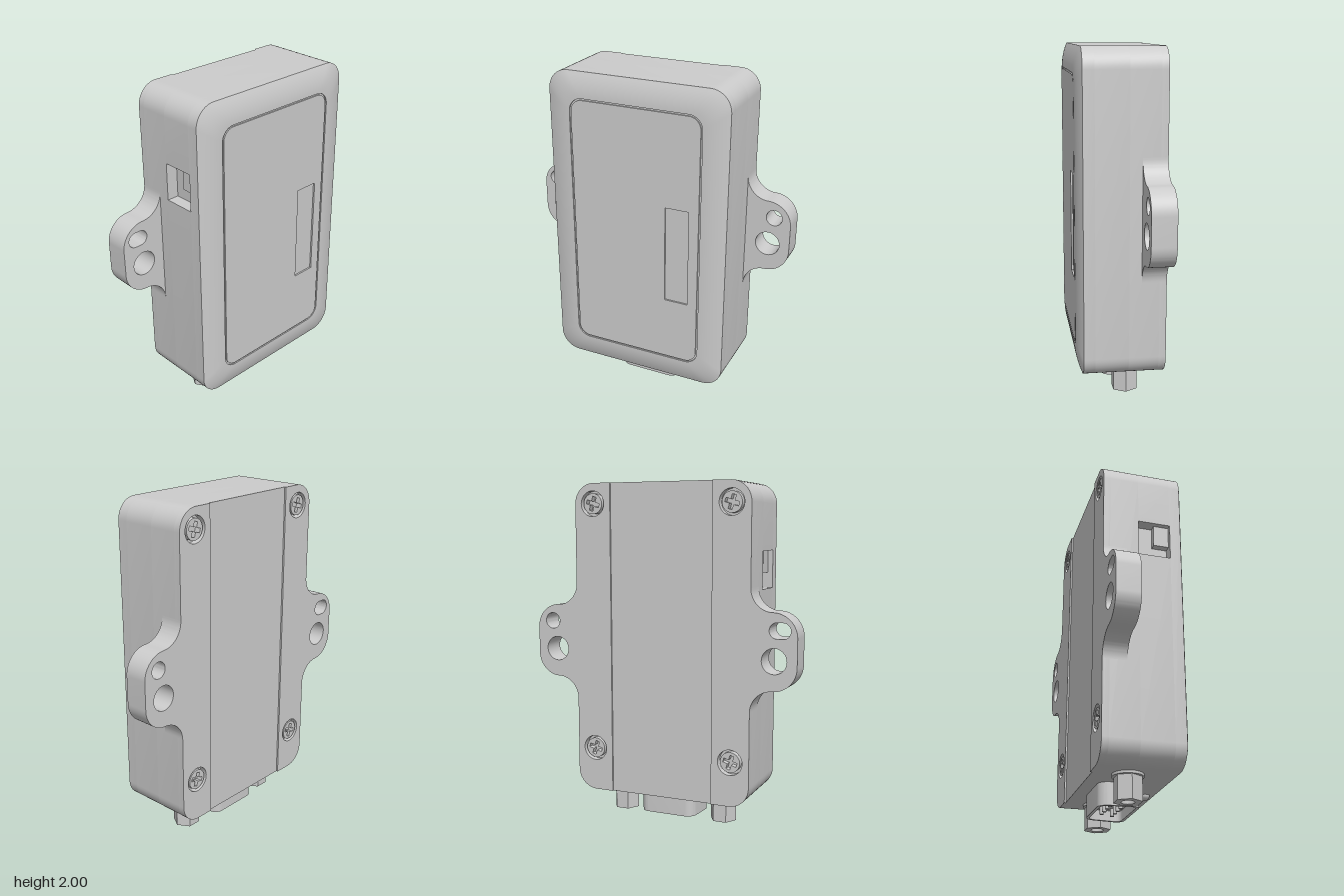
import * as THREE from 'three';
import { toCreasedNormals } from 'three/addons/utils/BufferGeometryUtils.js';

const V = (x, y) => new THREE.Vector2(x, y);
const material = new THREE.MeshStandardMaterial({ color: 0xcccccc });
const N = 10; // segments per rounded corner

// Rounded rectangle, counter-clockwise: lower right, upper right, upper left, lower left
function roundRect(x0, x1, y0, y1, r) {
  const pts = [];
  const corners = [[x1 - r, y0 + r], [x1 - r, y1 - r], [x0 + r, y1 - r], [x0 + r, y0 + r]];
  corners.forEach(([cx, cy], k) => {
    for (let i = 0; i <= N; i++) {
      const a = (k - 1 + i / N) * Math.PI / 2;
      pts.push(V(cx + r * Math.cos(a), cy + r * Math.sin(a)));
    }
  });
  return pts;
}

function circle(x, y, r, n = 32) {
  return Array.from({ length: n }, (_, i) =>
    V(x + r * Math.cos(i / n * 2 * Math.PI), y + r * Math.sin(i / n * 2 * Math.PI)));
}

// Outline with holes, extruded from z0 to z1
function slab(pts, holes, z0, z1) {
  const shape = new THREE.Shape(pts);
  shape.holes = holes.map(h => new THREE.Path(h));
  const g = new THREE.ExtrudeGeometry(shape, { depth: z1 - z0, bevelEnabled: false });
  return toCreasedNormals(g.translate(0, 0, z0), 0.6);
}

// Outline in x and z, extruded downwards from yTop to yBottom
function drop(pts, holes, yTop, yBottom) {
  return slab(pts, holes, 0, yTop - yBottom).rotateX(Math.PI / 2).translate(0, yTop, 0);
}

// Skin through rings of equal point count, given as [points, z]
function loft(rings) {
  const n = rings[0][0].length, pos = [], index = [];
  rings.forEach(([pts, z], i) => pts.forEach((p, j) => {
    pos.push(p.x, p.y, z);
    if (i === rings.length - 1) return;
    const a = i * n + j, b = i * n + (j + 1) % n;
    index.push(a, b, b + n, a, b + n, a + n);
  }));
  const g = new THREE.BufferGeometry();
  g.setAttribute('position', new THREE.Float32BufferAttribute(pos, 3));
  g.setIndex(index);
  return toCreasedNormals(g, 0.4);
}

export function createModel() {
  const model = new THREE.Group();
  const add = (name, geometry, parent = model) => {
    const m = new THREE.Mesh(geometry, material);
    m.name = name;
    parent.add(m);
    return m;
  };

  // Housing in layers, so screw wells and the side slot are real recesses
  const outline = roundRect(-0.55, 0.55, 0.15, 2, 0.12);
  const screws = [[0.435, 1.88], [0.435, 0.41], [-0.435, 1.88], [-0.435, 0.41]];
  const wells = screws.map(([x, y]) => circle(x, y, 0.075));
  const notched = [...outline];
  notched.splice(3 * (N + 1), 0, V(-0.55, 1.61), V(-0.48, 1.61), V(-0.48, 1.39), V(-0.55, 1.39));
  const housing = new THREE.Group();
  housing.name = 'housing';
  model.add(housing);
  add('backLayer', slab(outline, wells, -0.24, -0.21), housing);
  add('middleLayer', slab(outline, [], -0.21, -0.04), housing);
  add('slotLayer', slab(notched, [], -0.04, 0.15), housing);
  add('frontLayer', slab(outline, [], 0.15, 0.215), housing);
  add('slotSwitch', new THREE.BoxGeometry(0.04, 0.13, 0.09).translate(-0.5, 1.545, 0.105), housing);

  // Raised strips either side of the back channel
  const strip = [...outline.slice(0, 2 * (N + 1)), V(0.32, 2), V(0.32, 0.15)];
  for (const s of [1, -1]) {
    const holes = screws.filter(p => p[0] * s > 0).map(([x, y]) => circle(x, y, 0.075));
    add(s > 0 ? 'leftBackStrip' : 'rightBackStrip',
      slab(strip.map(p => V(p.x * s, p.y)), holes, -0.25, -0.24), housing);
  }

  // Curved front rim, ending in the groove around the panel
  const inset = (d, r) => roundRect(-0.55 + d, 0.55 - d, 0.15 + d, 2 - d, r);
  const rings = [];
  for (let i = 0; i <= 8; i++) {
    const t = i / 8;
    rings.push([inset(0.145 * t, 0.12 - 0.04 * t), 0.215 + 0.035 * (1 - (1 - t) ** 2)]);
  }
  rings.push([inset(0.145, 0.08), 0.242], [inset(0.155, 0.07), 0.242], [inset(0.155, 0.07), 0.25]);
  add('frontRim', loft(rings));

  // Front panel with its sunken window
  const windowHole = [V(0.19, 0.695), V(0.335, 0.695), V(0.335, 1.29), V(0.19, 1.29)];
  add('frontPanel', slab(inset(0.155, 0.07), [windowHole], 0.22, 0.25));
  add('windowFloor', new THREE.BoxGeometry(0.145, 0.595, 0.02).translate(0.2625, 0.9925, 0.23));

  // Mounting ears; one upper hole is a slot
  const ear = new THREE.Shape();
  ear.moveTo(0.55, 0.71);
  ear.absarc(0.68, 0.71, 0.13, Math.PI, Math.PI / 2, true);
  ear.absarc(0.68, 0.98, 0.14, -Math.PI / 2, 0, false);
  ear.absarc(0.68, 1.14, 0.14, 0, Math.PI / 2, false);
  ear.absarc(0.68, 1.41, 0.13, -Math.PI / 2, -Math.PI, true);
  const earPts = ear.getPoints(12);
  for (const s of [1, -1]) {
    const upper = s > 0 ? circle(0.72, 1.18, 0.048) : roundRect(-0.782, -0.658, 1.135, 1.225, 0.0449);
    add(s > 0 ? 'leftEar' : 'rightEar',
      slab(earPts.map(p => V(p.x * s, p.y)), [circle(0.688 * s, 1.01, 0.073), upper], -0.25, -0.11));
  }

  // Cross-head screws
  const w = 0.012, l = 0.042;
  const quarter = [V(l, -w), V(l, w), V(w, w)];
  const cross = [0, 1, 2, 3].flatMap(k =>
    quarter.map(p => p.clone().rotateAround(V(0, 0), k * Math.PI / 2 + 0.3)));
  const head = slab(circle(0, 0, 0.06), [cross], -0.246, -0.21);
  for (const [x, y] of screws) add('screw', head).position.set(x, y, 0);

  // Hexagonal standoffs with washers
  for (const s of [1, -1]) {
    const x = 0.325 * s, z = -0.045;
    add('standoff', drop(circle(x, z, 0.08, 6), [circle(x, z, 0.037)], 0.15, 0));
    add('standoffCore', new THREE.CylinderGeometry(0.037, 0.037, 0.06, 24).translate(x, 0.11, z));
    add('washer', new THREE.CylinderGeometry(0.088, 0.088, 0.015, 32).translate(x, 0.1425, z));
  }

  // Connector shell, narrower towards the back, with two rows of pins
  const dShape = d => roundRect(-0.19 + d, 0.195 - d, -0.16 + d, 0.07 - d, 0.055 - d)
    .map(p => V(p.x * (1 - 0.12 * (0.07 - p.y) / 0.23), p.y));
  add('connectorShell', drop(dShape(0), [dShape(0.018)], 0.15, 0.02));
  add('connectorFloor', drop(dShape(0.015), [], 0.15, 0.08));
  for (const [count, z] of [[5, -0.01], [4, -0.08]]) {
    for (let i = 0; i < count; i++) {
      add('pin', new THREE.CylinderGeometry(0.012, 0.012, 0.05, 12)
        .translate((i - (count - 1) / 2) * 0.06, 0.06, z));
    }
  }

  // Small indicator lamp under the front edge
  add('indicator', new THREE.SphereGeometry(0.027, 20, 14).translate(0.04, 0.147, 0.163));
  return model;
}
